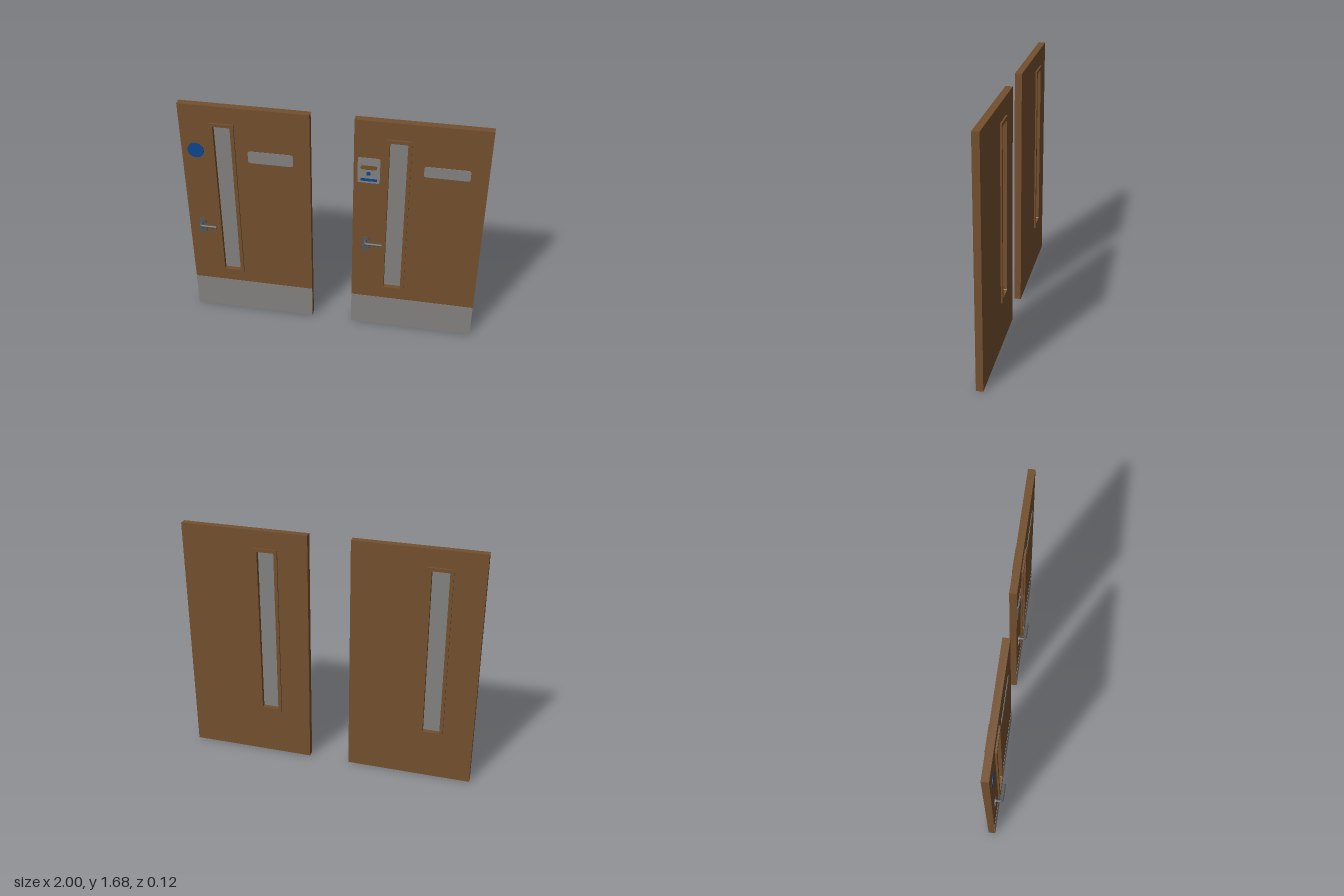
import * as THREE from 'three';

const mat = (name, color, side = THREE.FrontSide) => {
  const m = new THREE.MeshStandardMaterial({ color, side });
  m.name = name;
  return m;
};

// Rectangle outline with optional rounded corners
function rect(x0, y0, x1, y1, r = 0, Type = THREE.Shape) {
  const s = new Type();
  if (r === 0) {
    s.moveTo(x0, y0).lineTo(x1, y0).lineTo(x1, y1).lineTo(x0, y1).closePath();
    return s;
  }
  s.absarc(x1 - r, y0 + r, r, -Math.PI / 2, 0);
  s.absarc(x1 - r, y1 - r, r, 0, Math.PI / 2);
  s.absarc(x0 + r, y1 - r, r, Math.PI / 2, Math.PI);
  s.absarc(x0 + r, y0 + r, r, Math.PI, Math.PI * 1.5);
  s.closePath();
  return s;
}

// Flat slab from a shape, running from z0 to z1
function slab(name, shape, z0, z1, material) {
  const g = new THREE.ExtrudeGeometry(shape, { depth: z1 - z0, bevelEnabled: false, curveSegments: 6 });
  g.translate(0, 0, z0);
  const m = new THREE.Mesh(g, material);
  m.name = name;
  return m;
}

// Round disc facing the front, resting on the door face
function disc(name, x, y, r, depth, material) {
  const g = new THREE.CylinderGeometry(r, r, depth, 32).rotateX(Math.PI / 2);
  const m = new THREE.Mesh(g, material);
  m.position.set(x, y, depth / 2);
  m.name = name;
  return m;
}

export function createModel() {
  const wood = mat('wood', 0x74502e);
  const metal = mat('plateGrey', 0x858381);
  const glass = mat('glassGrey', 0x838280);
  const steel = mat('handleSteel', 0x57585a);
  const blue = mat('signBlue', 0x0b4690);

  const model = new THREE.Group();
  model.name = 'doorPair';
  const W = 0.858, H = 1.68, BACK = -0.047;

  // Door leaf, measured from its lower corner on the handle side
  function buildDoor(name, x) {
    const door = new THREE.Group();
    door.name = name;
    door.position.x = x;

    const leaf = rect(0, 0, W, H);
    leaf.holes.push(rect(0.215, 0.352, 0.352, 1.548, 0, THREE.Path));
    door.add(slab('doorLeaf', leaf, BACK, 0, wood));

    // Window frame stands proud on both faces
    const frame = rect(0.203, 0.34, 0.365, 1.56);
    frame.holes.push(rect(0.226, 0.362, 0.341, 1.537, 0.008, THREE.Path));
    door.add(slab('windowFrame', frame, -0.058, 0.012, wood));
    door.add(slab('windowPane', rect(0.22, 0.356, 0.347, 1.543), -0.028, -0.018, glass));

    door.add(slab('kickPlate', rect(0, 0, W, 0.254), 0, 0.002, metal));

    // Lever handle and lock
    door.add(disc('handleRose', 0.09, 0.755, 0.027, 0.009, steel));
    door.add(disc('lockRose', 0.09, 0.69, 0.028, 0.009, steel));
    const path = new THREE.CurvePath();
    const v = (px, pz) => new THREE.Vector3(px, 0.755, pz);
    path.add(new THREE.LineCurve3(v(0.09, 0), v(0.09, 0.03)));
    path.add(new THREE.QuadraticBezierCurve3(v(0.09, 0.03), v(0.09, 0.048), v(0.108, 0.048)));
    path.add(new THREE.LineCurve3(v(0.108, 0.048), v(0.205, 0.048)));
    const lever = new THREE.Mesh(new THREE.TubeGeometry(path, 40, 0.01, 14), steel);
    lever.name = 'lever';
    door.add(lever);
    const tip = new THREE.Mesh(new THREE.CircleGeometry(0.01, 14).rotateY(Math.PI / 2), steel);
    tip.position.set(0.205, 0.755, 0.048);
    tip.name = 'leverEnd';
    door.add(tip);

    model.add(door);
    return door;
  }

  // First door: round blue sign and name plate
  const right = buildDoor('rightDoor', -1);
  right.add(disc('roundSign', 0.096, 1.342, 0.055, 0.003, blue));
  right.add(slab('namePlate', rect(0.447, 1.283, 0.746, 1.372, 0.015), 0, 0.003, metal));

  // Second door: slotted notice plate and name plate
  const left = buildDoor('leftDoor', 1 - W);
  left.add(slab('namePlate', rect(0.45, 1.308, 0.743, 1.386, 0.015), 0, 0.003, metal));
  const notice = rect(0.026, 1.221, 0.171, 1.41, 0.012);
  notice.holes.push(rect(0.046, 1.319, 0.151, 1.353, 0.012, THREE.Path));
  left.add(slab('noticePlate', notice, 0, 0.003, metal));
  left.add(slab('noticeSymbol', rect(0.083, 1.28, 0.111, 1.305), 0.003, 0.004, blue));
  left.add(slab('noticeBar', rect(0.045, 1.235, 0.152, 1.255), 0.003, 0.004, blue));

  return model;
}
